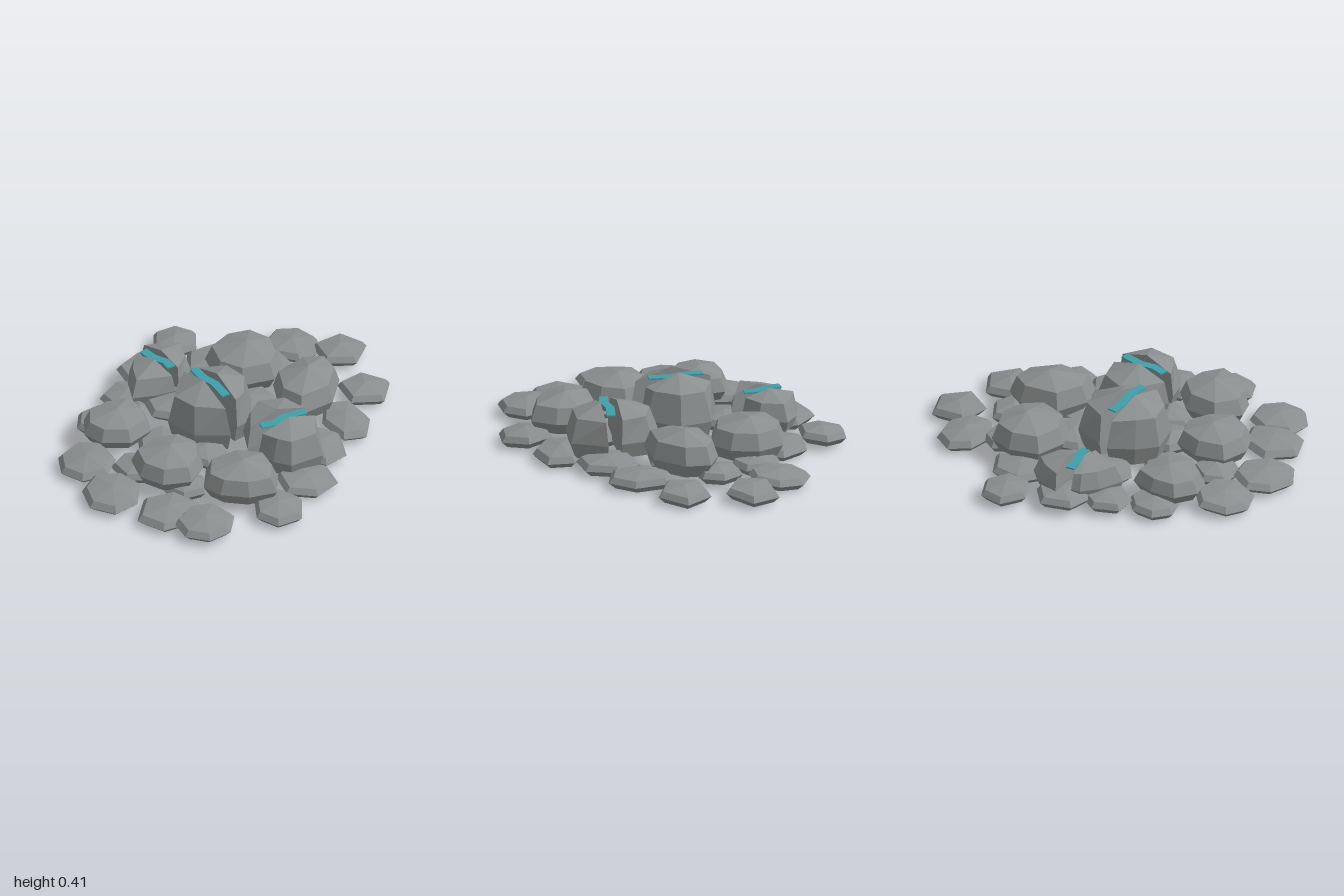
import * as THREE from 'three';

const stone = new THREE.MeshStandardMaterial({ color: 0x8b8f8f });
stone.name = 'grey stone';
const teal = new THREE.MeshStandardMaterial({ color: 0x409fa9 });
teal.name = 'teal crystal';

// Small repeatable variation between -1 and 1
let seed = 7;
function vary() {
  seed = (seed * 16807) % 2147483647;
  return (seed / 2147483647) * 2 - 1;
}

// Faceted stone: an outline [x, z] scaled about an anchor at each level [y, scale, shiftX, shiftZ],
// closed by a flat base and a low peak. Outlines run from +x towards +z.
// Corners listed in ridge keep most of their reach at every level.
function makeStone(name, outline, anchor, levels, peak, tilt = [0, 0], ridge = []) {
  const [cx, cz] = anchor;
  const rise = (x, z) => tilt[0] * (x - cx) + tilt[1] * (z - cz);
  const rings = levels.map(([y, s, dx = 0, dz = 0]) => outline.map(([px, pz], i) => {
    const k = ridge.includes(i) ? Math.max(s, 0.88) : s;
    const x = cx + (px - cx) * k, z = cz + (pz - cz) * k;
    return [x + dx, y + rise(x, z), z + dz];
  }));
  const pos = [];
  const tri = (a, b, c) => pos.push(...a, ...b, ...c);
  const n = outline.length, base = [cx, levels[0][0], cz], last = rings[rings.length - 1];
  for (let i = 0; i < n; i++) {
    const j = (i + 1) % n;
    tri(base, rings[0][i], rings[0][j]);
    for (let r = 0; r < rings.length - 1; r++) {
      const a = rings[r], b = rings[r + 1];
      tri(a[i], b[i], a[j]);
      tri(b[i], b[j], a[j]);
    }
    tri(peak, last[j], last[i]);
  }
  const geo = new THREE.BufferGeometry();
  geo.setAttribute('position', new THREE.Float32BufferAttribute(pos, 3));
  geo.computeVertexNormals(); // unshared corners give flat facets
  const mesh = new THREE.Mesh(geo, stone);
  mesh.name = name;
  return mesh;
}

const units = (pts) => pts.map(([x, z]) => [x / 100, z / 100]);
const centre = (pts) => [0, 1].map((k) => pts.reduce((sum, p) => sum + p[k], 0) / pts.length);

// Flat slab: an irregular polygon with start angle in degrees, dipping outwards by slope
function makeSlab(name, [x, z, rx, rz, start, sides], y, slope) {
  const outline = [];
  for (let i = 0; i < sides; i++) {
    const a = (start + vary() * 4) * Math.PI / 180 + (i / sides) * Math.PI * 2;
    const k = 1 + vary() * 0.03;
    outline.push([x + Math.cos(a) * rx * k, z + Math.sin(a) * rz * k]);
  }
  const levels = [[y, 0.77], [y + 0.036, 1], [y + 0.068, 0.84]];
  const dip = slope / Math.hypot(x, z);
  const tilt = [vary() * 0.03 - x * dip, vary() * 0.03 - z * dip];
  return makeStone(name, outline, [x, z], levels, [x, y + 0.09, z], tilt);
}

// Whole boulder resting on the slabs
function makeBoulder(pts, top) {
  const outline = units(pts), c = centre(outline);
  const low = 0.07, h = top - low;
  return makeStone('boulder', outline, c,
    [[low, 0.82], [low + h * 0.34, 1], [low + h * 0.77, 0.83]],
    [c[0] + 0.01, top, c[1] - 0.01]);
}

// Half of a cracked boulder: the split edge, given by two indices, stays in one plane
function makeHalf(pts, split, top, lean) {
  const outline = units(pts), a = outline[split[0]], b = outline[split[1]];
  const c = [(a[0] + b[0]) / 2, (a[1] + b[1]) / 2];
  const low = 0.06, h = top - low, dx = lean[0] / 100, dz = lean[1] / 100;
  return makeStone('crackedBoulderHalf', outline, c,
    [[low, 0.88], [low + h * 0.32, 1], [low + h * 0.8, 0.77, dx * 0.8, dz * 0.8]],
    [c[0] + dx, top, c[1] + dz], [0, 0], split);
}

// Thin winding crystal vein lying in a crack
function makeVein(pts, y) {
  const path = units(pts), n = path.length;
  const side = (sign) => path.map(([x, z], i) => {
    const p = path[Math.max(0, i - 1)], q = path[Math.min(n - 1, i + 1)];
    const dx = q[0] - p[0], dz = q[1] - p[1], len = Math.hypot(dx, dz);
    return new THREE.Vector2(x - (dz / len) * 0.025 * sign, -(z + (dx / len) * 0.025 * sign));
  });
  const shape = new THREE.Shape([...side(1), ...side(-1).reverse()]);
  const geo = new THREE.ExtrudeGeometry(shape, { depth: 0.008, bevelEnabled: false });
  geo.rotateX(-Math.PI / 2);
  const mesh = new THREE.Mesh(geo, teal);
  mesh.name = 'crystalVein';
  mesh.position.y = y;
  return mesh;
}

export function createModel() {
  seed = 7;
  const model = new THREE.Group();
  model.name = 'rockPile';

  // Slabs around the rim: x, z, radius x, radius z, start angle, sides
  const rimSlabs = [
    [0.017, -0.83, 0.137, 0.145, -8, 6], [0.62, -0.59, 0.15, 0.175, -104, 7],
    [0.845, -0.44, 0.162, 0.157, 0, 5], [0.845, -0.06, 0.162, 0.155, -5, 5],
    [0.64, 0.18, 0.135, 0.2, 65, 6], [0.42, 0.36, 0.15, 0.18, -80, 6],
    [0.235, 0.62, 0.18, 0.155, 30, 6], [-0.005, 0.81, 0.147, 0.16, -10, 6],
    [-0.43, 0.80, 0.172, 0.16, 0, 7], [-0.58, 0.62, 0.187, 0.168, 0, 6],
    [-0.81, 0.35, 0.167, 0.182, 0, 7], [-0.84, 0.03, 0.162, 0.172, 15, 7],
  ];
  rimSlabs.forEach((s, i) => model.add(makeSlab('rimSlab', s, i === 0 ? 0.03 : 0.013 + (i % 3) * 0.004, 0.07)));

  // Slabs beneath the boulders
  const innerSlabs = [
    [-0.62, -0.30, 0.15, 0.14, -80, 7], [-0.41, -0.46, 0.15, 0.14, -100, 6],
    [-0.235, -0.63, 0.165, 0.16, -90, 6], [0.155, -0.59, 0.18, 0.165, -10, 6],
    [0.43, -0.46, 0.13, 0.14, -40, 6], [0.60, -0.25, 0.13, 0.14, -80, 6],
    [0.33, 0.02, 0.165, 0.13, 50, 6], [0.20, -0.16, 0.16, 0.15, 10, 7],
    [-0.20, -0.29, 0.165, 0.15, 0, 7], [-0.38, 0.01, 0.15, 0.15, -70, 6],
    [-0.60, 0.18, 0.14, 0.14, 20, 6], [-0.20, 0.20, 0.14, 0.14, 45, 6],
    [-0.40, 0.43, 0.13, 0.125, 60, 6], [0.0, 0.37, 0.15, 0.11, 0, 6],
    [-0.03, -0.02, 0.14, 0.14, 20, 6],
  ];
  innerSlabs.forEach((s, i) => model.add(makeSlab('innerSlab', s, 0.014 + (i % 3) * 0.01, 0)));

  // Whole boulders, in hundredths
  model.add(
    makeBoulder([[-60, -31], [-45, -30], [-41, -16], [-43, -3], [-58, 4], [-73, -2], [-79, -13], [-74, -26]], 0.235),
    makeBoulder([[-49, 12], [-33, 13], [-25, 25], [-29, 40], [-40, 51], [-56, 48], [-65, 36], [-64, 20]], 0.255),
    makeBoulder([[23, -62], [38, -61], [47, -48], [46, -32], [37, -21], [18, -22], [7, -35], [8, -53]], 0.285),
    makeBoulder([[-10, 40], [5, 49], [6, 64], [0, 78], [-16, 77], [-30, 69], [-36, 59], [-29, 44]], 0.27),
    makeBoulder([[55, -25], [68, -21], [70, -7], [59, 11], [38, 16], [30, 3], [34, -16]], 0.3),
  );

  // Central cracked boulder
  model.add(
    makeHalf([[-16, -24], [-6, 23], [-25, 16], [-34, -1], [-27, -13]], [0, 1], 0.41, [-2, 0]),
    makeHalf([[-10, -24], [10, -22], [17, -5], [9, 14], [0, 17]], [4, 0], 0.41, [1, 0]),
    makeVein([[-12.5, -17], [-11, -8], [-7, 0], [-5, 13]], 0.37),
  );

  // Rear cracked boulder
  model.add(
    makeHalf([[-29, -62], [-17, -33], [-29, -33], [-42, -35], [-39, -50], [-34, -60]], [0, 1], 0.26, [-1, 0]),
    makeHalf([[-24, -69], [-10, -69], [0, -64], [-2, -48], [-13, -39]], [4, 0], 0.26, [1, 0]),
    makeVein([[-26, -60], [-23, -52], [-18, -46], [-17, -40]], 0.235),
  );

  // Front cracked boulder
  model.add(
    makeHalf([[3, 18], [13, 8], [32, 11], [38, 28], [-1, 35.5]], [3, 4], 0.34, [0, -1]),
    makeHalf([[3, 42], [41, 35.5], [36, 56], [16, 59], [8, 52]], [0, 1], 0.34, [0, 1]),
    makeVein([[6, 38], [14, 38], [22, 34.5], [34, 34]], 0.302),
  );

  // Rest the lowest corner on the ground
  model.position.y = -new THREE.Box3().setFromObject(model).min.y;
  return model;
}
